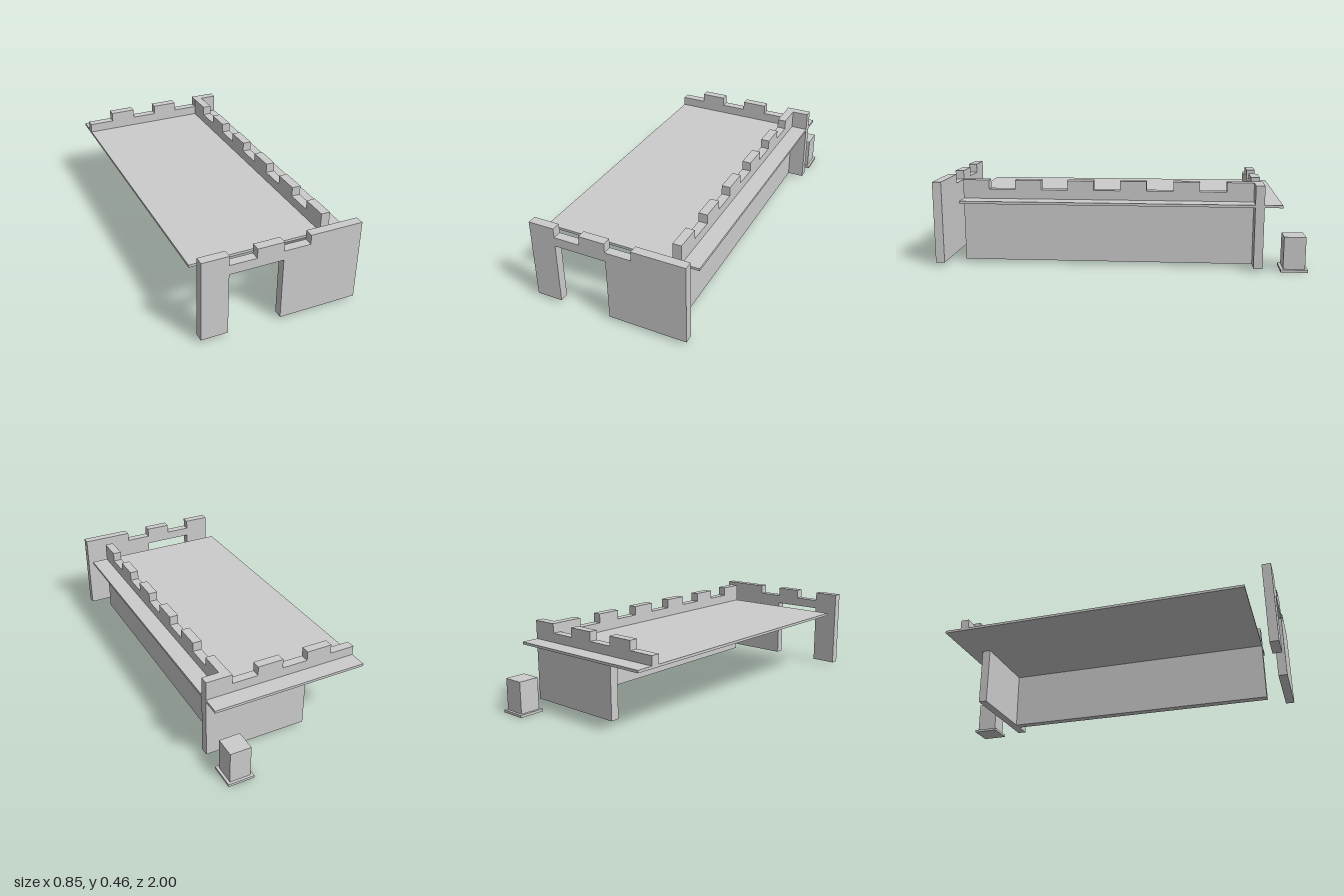
import * as THREE from 'three';

const LOW = 0.017, SILL = 0.41, TOP = 0.461, W = 0.427, STEP = 0.1425;

export function createModel() {
  const model = new THREE.Group();
  const stone = new THREE.MeshStandardMaterial({ color: 0xcccccc });
  stone.name = 'light grey';

  // Box given by its lower and upper corners
  function box(name, [x0, y0, z0], [x1, y1, z1]) {
    const mesh = new THREE.Mesh(new THREE.BoxGeometry(x1 - x0, y1 - y0, z1 - z0), stone);
    mesh.position.set((x0 + x1) / 2, (y0 + y1) / 2, (z0 + z1) / 2);
    mesh.name = name;
    model.add(mesh);
    return mesh;
  }

  // Wall outline: given bottom points left to right, then a battlement read right to left.
  // raised[i] tells whether the i-th equal segment from the left stands tall.
  function wall(name, bottom, from, to, raised, depth) {
    const points = bottom.map(([x, y]) => new THREE.Vector2(x, y));
    const step = (to - from) / raised.length;
    for (let i = raised.length - 1; i >= 0; i--) {
      const y = raised[i] ? TOP : SILL;
      if (i === raised.length - 1 || raised[i + 1] !== raised[i]) {
        points.push(new THREE.Vector2(from + (i + 1) * step, y));
      }
      if (i === 0 || raised[i - 1] !== raised[i]) {
        points.push(new THREE.Vector2(from + i * step, y));
      }
    }
    const geometry = new THREE.ExtrudeGeometry(new THREE.Shape(points), { depth, bevelEnabled: false });
    const mesh = new THREE.Mesh(geometry, stone);
    mesh.name = name;
    model.add(mesh);
    return mesh;
  }

  // Front wall with a doorway
  const front = wall('frontWall',
    [[-W, LOW], [-2 * STEP, LOW], [-2 * STEP, 0.359], [0, 0.359], [0, LOW], [W, LOW]],
    -W, W, [1, 0, 1, 0, 1, 1], 0.048);
  front.position.z = 0.952;

  // Back wall: full width above the deck, shorter below it
  const back = wall('backWall',
    [[-W, 0.352], [-STEP, 0.352], [-STEP, LOW], [W, LOW]],
    -W, W, [0, 1, 0, 1, 0, 1], 0.048);
  back.position.z = -0.762;

  // Long side wall, its profile running along z
  const side = wall('sideWall', [[-0.857, LOW], [0.714, LOW]],
    -0.857, 0.714, [1, 0, 1, 0, 1, 0, 1, 0, 1, 0, 1], 0.048);
  side.rotation.y = Math.PI / 2;
  side.position.x = 0.286;

  // Deck and the free-standing pedestal behind it
  box('deck', [-W, 0.345, -0.857], [W, 0.359, 0.857]);
  box('pedestalBase', [0.285, 0, -1], [W, 0.014, -0.857]);
  box('pedestal', [0.299, 0.014, -0.986], [0.413, 0.188, -0.871]);

  return model;
}
